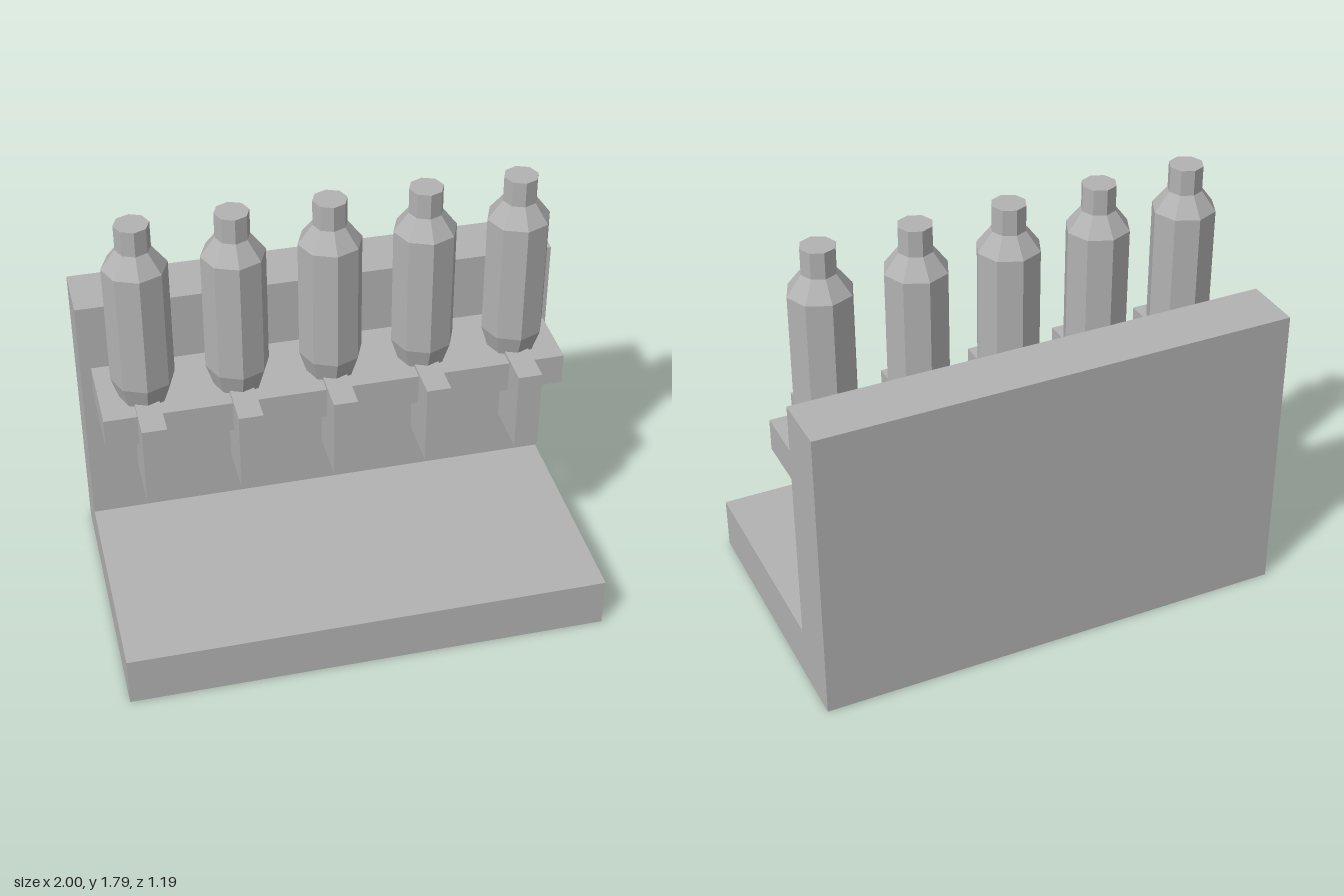
import * as THREE from 'three';

export function createModel() {
  const group = new THREE.Group();
  const grey = new THREE.MeshStandardMaterial({ color: 0xb2b2b2, flatShading: true });
  grey.name = 'plain grey';

  const add = (name, geometry, x, y, z) => {
    const mesh = new THREE.Mesh(geometry, grey);
    mesh.name = name;
    mesh.position.set(x, y, z);
    group.add(mesh);
  };

  // L-shaped stand: side outline (x = -z, y), extruded across the width
  const outline = new THREE.Shape([
    [-0.595, 0], [0.595, 0], [0.595, 1.28], [0.345, 1.28], [0.345, 0.22], [-0.595, 0.22],
  ].map(([x, y]) => new THREE.Vector2(x, y)));
  const stand = new THREE.ExtrudeGeometry(outline, { depth: 2, bevelEnabled: false });
  stand.translate(0, 0, -1).rotateY(Math.PI / 2);
  add('stand', stand, 0, 0, 0);

  // Shelf fixed to the back wall
  add('shelf', new THREE.BoxGeometry(1.91, 0.135, 0.365), 0, 0.9175, -0.1625);

  // Eight-sided bottle: tapered foot, straight body, sloped shoulder, neck
  const profile = [
    [0, 0.985], [0.1, 0.985], [0.13, 1.08], [0.13, 1.6], [0.07, 1.68], [0.07, 1.787], [0, 1.787],
  ].map(([r, y]) => new THREE.Vector2(r, y));
  const bottle = new THREE.LatheGeometry(profile, 8);
  const dispenser = new THREE.BoxGeometry(0.1, 0.35, 0.225);

  // Five bottles, each with a dispenser block in front
  for (let i = -2; i <= 2; i++) {
    add('bottle', bottle, i * 0.385, 0, -0.128);
    add('dispenser', dispenser, i * 0.385, 0.825, 0.0325);
  }
  return group;
}
